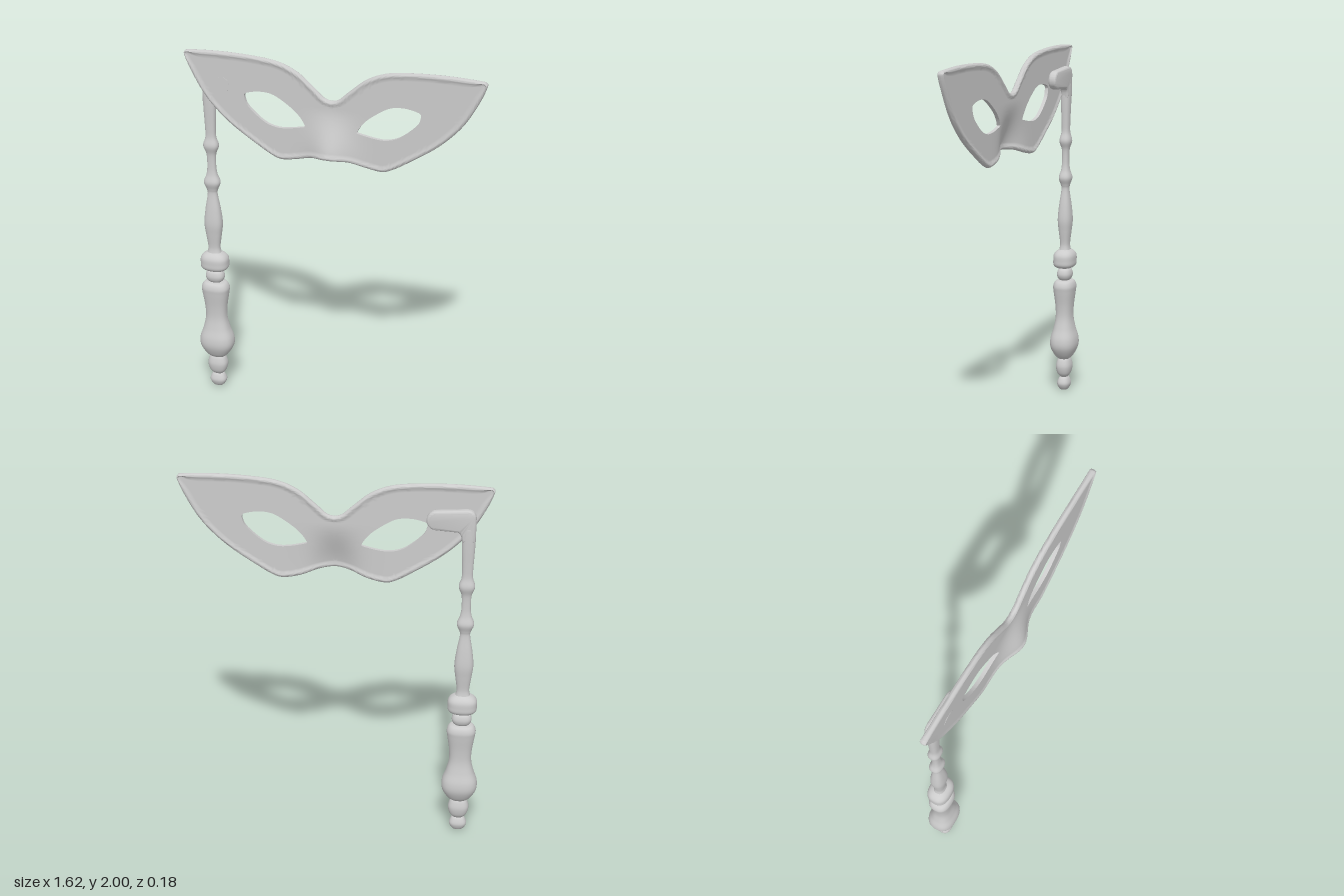
import * as THREE from 'three';
import { mergeVertices, toCreasedNormals } from 'three/addons/utils/BufferGeometryUtils.js';

const material = new THREE.MeshStandardMaterial({ color: 0xcccccc });
const vectors = pts => pts.map(([x, y]) => new THREE.Vector2(x, y));
const spline = (pts, n) => new THREE.SplineCurve(vectors(pts)).getPoints(n);

function addMesh(parent, name, geometry) {
  const mesh = new THREE.Mesh(geometry, material);
  mesh.name = name;
  parent.add(mesh);
  return mesh;
}

// Half of the mask edge, from the brow dip round the tip to the chin
const OUTLINE = [[0, 1.8], [0.04, 1.812], [0.1, 1.865], [0.19, 1.937], [0.3, 1.98], [0.45, 1.996], [0.62, 2],
  [0.78, 1.992], [0.806, 1.983], [0.81, 1.965], [0.78, 1.89], [0.717, 1.778], [0.65, 1.695], [0.55, 1.605],
  [0.415, 1.515], [0.33, 1.465], [0.27, 1.447], [0.18, 1.462], [0.09, 1.489], [0, 1.497]];
const EYE_TOP = [[0.137, 1.645], [0.165, 1.69], [0.215, 1.738], [0.31, 1.797], [0.39, 1.808], [0.465, 1.793], [0.479, 1.775]];
const EYE_BOTTOM = [[0.479, 1.775], [0.457, 1.722], [0.373, 1.65], [0.3, 1.624], [0.23, 1.626], [0.137, 1.645]];
const EYE_CENTRE = new THREE.Vector2(0.31, 1.71);
const TIP = new THREE.Vector2(0.805, 1.978);

// Forward swell of the nose
const nose = (x, y) =>
  0.065 * Math.exp(-((x / 0.11) ** 2)) * (1 - THREE.MathUtils.smoothstep(y, 1.48, 1.76));

// Eye edge point lying in the same direction from the eye centre as p
function eyePoint(p, eye) {
  const angle = p.clone().sub(EYE_CENTRE).angle();
  for (let i = 0; i < eye.length; i++) {
    const a = eye[i], b = eye[(i + 1) % eye.length];
    const a0 = a.clone().sub(EYE_CENTRE).angle(), b0 = b.clone().sub(EYE_CENTRE).angle();
    const span = (a0 - b0 + 4 * Math.PI) % (2 * Math.PI);
    const offset = (a0 - angle + 4 * Math.PI) % (2 * Math.PI);
    if (span > 0 && span < Math.PI && offset <= span) return a.clone().lerp(b, offset / span);
  }
  return eye[0].clone();
}

// One half of the mask: a closed section swept round the eye, side = 1 or -1
function maskHalf(side) {
  const OUTER = 160, CENTRE = 24, RINGS = 14;
  const curve = new THREE.SplineCurve(vectors(OUTLINE));
  const eye = [...spline(EYE_TOP, 50).slice(0, -1), ...spline(EYE_BOTTOM, 50).slice(0, -1)];

  // Rounded rim section as [inset, z]
  const rim = [[0.03, 0.022], [0.022, 0.0255]];
  for (let k = 0; k <= 8; k++) {
    const a = Math.PI / 2 - k * Math.PI / 8;
    rim.push([0.016 * (1 - Math.cos(a)), 0.0115 + 0.0165 * Math.sin(a)]);
  }
  rim.push([0.022, -0.0025], [0.03, 0.002]);

  const columns = [];
  const addColumn = rimPoints => {
    const inner = rimPoints[0], e = eyePoint(inner, eye), column = [];
    const ring = (j, z) => {
      const p = e.clone().lerp(inner, j / RINGS);
      column.push([p.x, p.y, z]);
    };
    for (let j = 0; j < RINGS; j++) ring(j, 0.022);
    rimPoints.forEach((p, k) => column.push([p.x, p.y, rim[k][1]]));
    for (let j = RINGS - 1; j >= 0; j--) ring(j, 0.002);
    columns.push(column);
  };
  const edge = [];
  for (let i = 0; i <= OUTER; i++) {
    const p = curve.getPoint(i / OUTER), t = curve.getTangent(i / OUTER);
    const n = new THREE.Vector2(-t.y, t.x);
    if (i === 0) n.set(0, 1);
    if (i === OUTER) n.set(0, -1);
    const shrink = 1 - 0.6 * Math.exp(-((p.distanceTo(TIP) / 0.06) ** 2));
    edge.push(rim.map(([d]) => p.clone().addScaledVector(n, -d * shrink)));
  }
  edge.forEach(addColumn);
  for (let i = 1; i < CENTRE; i++) {
    const p = edge[OUTER][0].clone().lerp(edge[0][0], i / CENTRE);
    addColumn(rim.map(() => p));
  }

  const count = columns[0].length, positions = [], index = [];
  for (const column of columns)
    for (const [x, y, z] of column) positions.push(side * x, y, z + nose(x, y));
  for (let i = 0; i < columns.length; i++) {
    for (let j = 0; j < count; j++) {
      // The two halves join along the centre line, so no rim there
      if (i >= OUTER && j >= RINGS && j < RINGS + rim.length - 1) continue;
      const i2 = (i + 1) % columns.length, j2 = (j + 1) % count;
      const a = i * count + j, b = i * count + j2, c = i2 * count + j2, d = i2 * count + j;
      if (side > 0) index.push(a, d, c, a, c, b);
      else index.push(a, c, d, a, b, c);
    }
  }
  return { positions, index };
}

function maskGeometry() {
  const left = maskHalf(1), right = maskHalf(-1), base = left.positions.length / 3;
  let geometry = new THREE.BufferGeometry();
  geometry.setAttribute('position', new THREE.Float32BufferAttribute([...left.positions, ...right.positions], 3));
  geometry.setIndex([...left.index, ...right.index.map(i => i + base)]);
  geometry = mergeVertices(geometry, 1e-5);
  return toCreasedNormals(geometry, 0.8);
}

// Turned part with a flattened, slightly squared section
function turned(profile) {
  const points = spline(profile, profile.length * 6).map(p => p.setX(Math.max(p.x, 0)));
  let geometry = new THREE.LatheGeometry(points, 48);
  const pos = geometry.attributes.position;
  for (let i = 0; i < pos.count; i++) {
    const x = pos.getX(i), z = pos.getZ(i), r = Math.hypot(x, z);
    if (r < 1e-6) continue;
    const k = 1 / (Math.abs(x / r) ** 2.5 + Math.abs(z / r) ** 2.5) ** (1 / 2.5);
    pos.setXYZ(i, x * k, pos.getY(i), z * k * 0.78);
  }
  geometry.deleteAttribute('uv');
  geometry.deleteAttribute('normal');
  geometry = mergeVertices(geometry, 1e-5);
  geometry.computeVertexNormals();
  return geometry;
}

const HANDLE = {
  footBall: [[0, 0], [0.028, 0.008], [0.047, 0.04], [0.038, 0.07], [0.022, 0.088]],
  lowerBead: [[0.024, 0.08], [0.046, 0.105], [0.056, 0.145], [0.048, 0.18], [0.036, 0.2]],
  grip: [[0.036, 0.19], [0.065, 0.215], [0.093, 0.265], [0.094, 0.315], [0.074, 0.375], [0.06, 0.44],
    [0.062, 0.51], [0.074, 0.59], [0.077, 0.625], [0.062, 0.652], [0.03, 0.66]],
  ringBead: [[0.03, 0.655], [0.046, 0.67], [0.053, 0.692], [0.046, 0.716], [0.03, 0.73]],
  collar: [[0.03, 0.728], [0.06, 0.734], [0.076, 0.75], [0.078, 0.775], [0.076, 0.803], [0.062, 0.823], [0.036, 0.838]],
  stem: [[0.044, 0.82], [0.035, 0.85], [0.034, 0.88], [0.043, 0.945], [0.05, 1.01], [0.042, 1.09], [0.027, 1.18],
    [0.031, 1.21], [0.045, 1.25], [0.03, 1.295], [0.024, 1.34], [0.026, 1.41], [0.042, 1.46], [0.029, 1.51],
    [0.029, 1.57], [0.034, 1.68], [0.035, 1.75], [0.03, 1.79], [0, 1.8]],
};

// Flat bracket that turns from the stem to the back of the mask
function bracketGeometry() {
  const shape = new THREE.Shape();
  shape.moveTo(-0.712, 1.72);
  shape.lineTo(-0.712, 1.83);
  shape.quadraticCurveTo(-0.712, 1.868, -0.675, 1.866);
  shape.lineTo(-0.525, 1.855);
  shape.absarc(-0.525, 1.817, 0.038, Math.PI / 2, -Math.PI / 2, true);
  shape.lineTo(-0.635, 1.772);
  shape.quadraticCurveTo(-0.662, 1.768, -0.668, 1.72);
  shape.closePath();
  const geometry = new THREE.ExtrudeGeometry(shape, {
    depth: 0.019, bevelEnabled: true, bevelThickness: 0.014, bevelSize: 0.013, bevelSegments: 5, curveSegments: 16,
  });
  geometry.translate(0, 0, -0.029);
  return toCreasedNormals(geometry, 0.8);
}

export function createModel() {
  const model = new THREE.Group();
  model.name = 'handheldMask';
  addMesh(model, 'mask', maskGeometry());

  const handle = new THREE.Group();
  handle.name = 'handle';
  handle.position.set(-0.69, 0, -0.017);
  for (const [name, profile] of Object.entries(HANDLE)) addMesh(handle, name, turned(profile));
  model.add(handle);

  addMesh(model, 'bracket', bracketGeometry());

  // Peg that fixes the bracket through the mask
  const peg = addMesh(model, 'peg', new THREE.CylinderGeometry(0.04, 0.04, 0.045, 40));
  peg.rotation.x = Math.PI / 2;
  peg.position.set(-0.6, 1.822, 0.001);
  return model;
}
